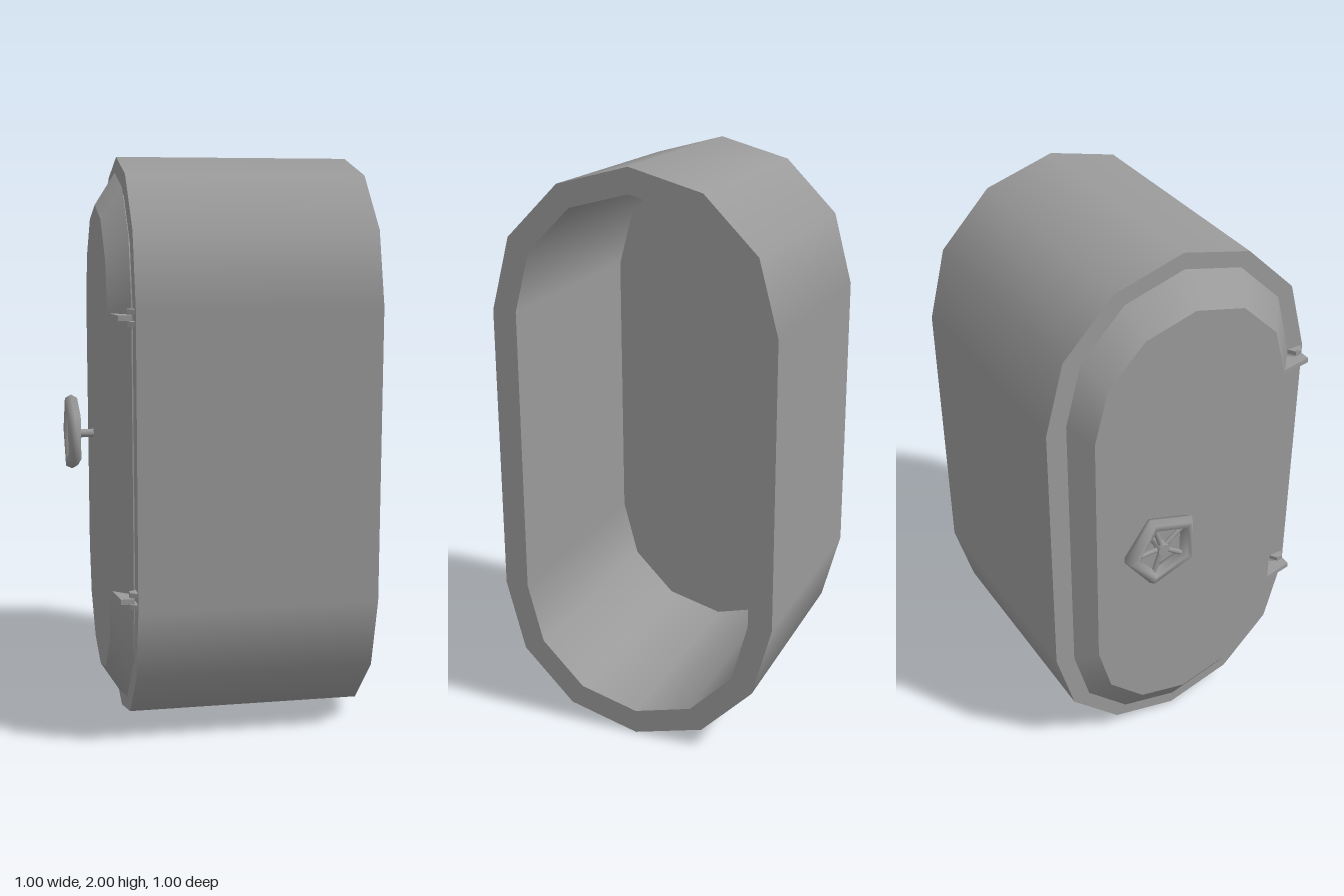
import * as THREE from 'three';

const smooth = new THREE.MeshStandardMaterial({ color: 0x9a9a9a });
const flat = new THREE.MeshStandardMaterial({ color: 0x9a9a9a, flatShading: true });

function add(parent, name, geometry, material = smooth) {
  const mesh = new THREE.Mesh(geometry, material);
  mesh.name = name;
  parent.add(mesh);
  return mesh;
}

// Sweeps a profile of [x, radius, half straight length] round a stadium outline.
// Smooth round the outline, sharp between profile steps.
function stadiumLoft(profile) {
  const pos = [], nor = [], idx = [];
  const ring = [];
  for (let half = 0; half < 2; half++) {
    for (let i = 0; i <= 6; i++) ring.push([Math.PI * (half + i / 6), half ? -1 : 1]);
  }
  const n = ring.length;
  for (let p = 0; p < profile.length - 1; p++) {
    const base = pos.length / 3;
    const dx = profile[p + 1][0] - profile[p][0];
    const dr = profile[p + 1][1] - profile[p][1];
    const len = Math.hypot(dx, dr);
    for (const [x, r, h] of [profile[p], profile[p + 1]]) {
      for (const [a, side] of ring) {
        pos.push(x, 1 + r * Math.sin(a) + side * h, r * Math.cos(a));
        nor.push(-dr / len, (dx / len) * Math.sin(a), (dx / len) * Math.cos(a));
      }
    }
    for (let i = 0; i < n; i++) {
      const a = base + i, b = base + (i + 1) % n;
      idx.push(a, a + n, b, b, a + n, b + n);
    }
  }
  const g = new THREE.BufferGeometry();
  g.setAttribute('position', new THREE.Float32BufferAttribute(pos, 3));
  g.setAttribute('normal', new THREE.Float32BufferAttribute(nor, 3));
  g.setIndex(idx);
  return g;
}

// Horizontal plate from an outline of [x, z], centred on height y
function plate(outline, y, thickness) {
  const shape = new THREE.Shape(outline.map(([x, z]) => new THREE.Vector2(x, -z)));
  const g = new THREE.ExtrudeGeometry(shape, { depth: thickness, bevelEnabled: false });
  return g.rotateX(-Math.PI / 2).translate(0, y - thickness / 2, 0);
}

export function createModel() {
  const model = new THREE.Group();
  model.name = 'hatchway';

  // Hollow passage
  add(model, 'passageFrame', stadiumLoft([
    [-0.325, 0.5, 0.5], [0.5, 0.5, 0.5], [0.5, 0.415, 0.5],
    [-0.325, 0.415, 0.5], [-0.325, 0.5, 0.5],
  ]));

  // Bevelled door with a narrow seal behind it
  const door = new THREE.Group();
  door.name = 'door';
  model.add(door);
  add(door, 'doorPanel', stadiumLoft([
    [-0.402, 0, 0], [-0.402, 0.37, 0.465], [-0.331, 0.431, 0.515], [-0.331, 0, 0],
  ]));
  add(door, 'doorSeal', stadiumLoft([
    [-0.332, 0.418, 0.502], [-0.324, 0.418, 0.502], [-0.324, 0, 0],
  ]));

  // Hinges: an arm on the door between two lugs on the frame
  for (const y of [0.535, 1.472]) {
    const hinge = new THREE.Group();
    hinge.name = 'hinge';
    model.add(hinge);
    add(hinge, 'hingeArm', plate(
      [[-0.4, 0.36], [-0.38, 0.485], [-0.335, 0.485], [-0.35, 0.45], [-0.331, 0.43]], y, 0.018), flat);
    for (const dy of [-0.02, 0.02]) {
      add(hinge, 'hingeLug', plate(
        [[-0.35, 0.455], [-0.35, 0.478], [-0.322, 0.494], [-0.322, 0.436]], y + dy, 0.016), flat);
    }
    const pin = add(hinge, 'hingePin', new THREE.CylinderGeometry(0.007, 0.007, 0.058, 8));
    pin.position.set(-0.343, y, 0.467);
  }

  // Five-sided handwheel; built facing +z, then turned to face -x
  const wheel = new THREE.Group();
  wheel.name = 'handwheel';
  wheel.position.set(-0.48, 1.002, -0.163);
  wheel.rotation.y = Math.PI / 2;
  model.add(wheel);
  add(wheel, 'wheelRim', new THREE.TorusGeometry(0.121, 0.026, 6, 5));
  for (let i = 0; i < 5; i++) {
    const spoke = new THREE.CylinderGeometry(0.009, 0.009, 0.11, 6);
    spoke.rotateZ(Math.PI / 2).translate(0.055, 0, 0).rotateZ(i * Math.PI * 2 / 5);
    add(wheel, 'wheelSpoke', spoke);
  }
  add(wheel, 'wheelHub', new THREE.CylinderGeometry(0.022, 0.022, 0.03, 10).rotateX(Math.PI / 2));
  add(wheel, 'wheelShaft',
    new THREE.CylinderGeometry(0.0155, 0.0155, 0.09, 12).rotateX(Math.PI / 2).translate(0, 0, 0.04));

  return model;
}
